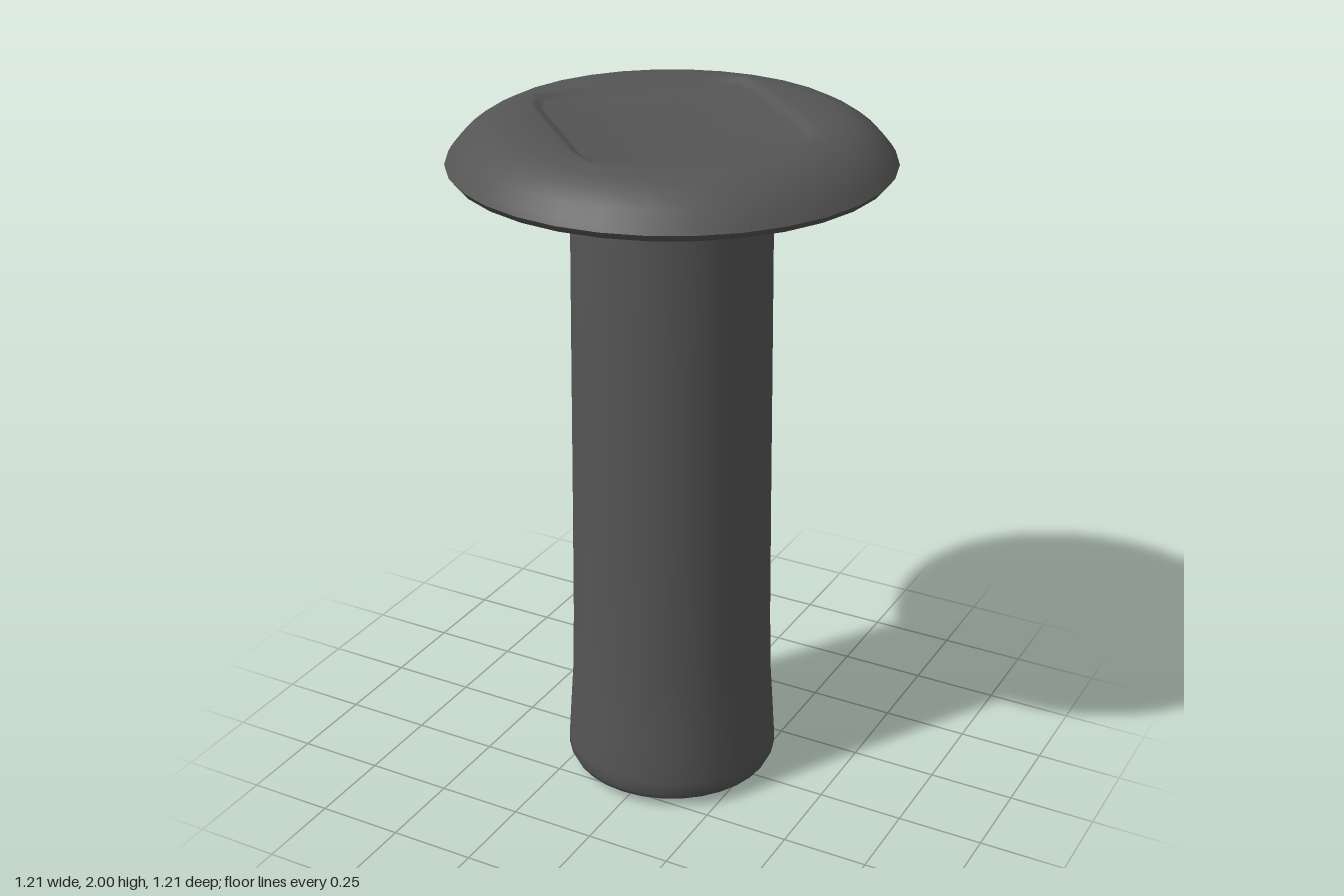
import * as THREE from 'three';
import { toCreasedNormals } from 'three/addons/utils/BufferGeometryUtils.js';

const SEGMENTS = 32;
const material = new THREE.MeshStandardMaterial({ color: 0x555555 });

// Radius of a diamond with clipped corners, in direction (x, z)
function diamondRadius(x, z) {
  const r = Math.hypot(x, z);
  return Math.min(0.41, (0.44 * r) / (Math.abs(x) + Math.abs(z)));
}

// Turned part; a profile point [offset, y, true] follows the diamond outline instead of a circle
function turned(name, profile, crease) {
  const lathe = new THREE.LatheGeometry(
    profile.map(([r, y, diamond]) => new THREE.Vector2(diamond ? 0.4 : r, y)), SEGMENTS);
  const pos = lathe.attributes.position;
  for (let i = 0; i < pos.count; i++) {
    const [offset, , diamond] = profile[i % profile.length];
    if (!diamond) continue;
    const x = pos.getX(i), z = pos.getZ(i);
    const k = (diamondRadius(x, z) + offset) / Math.hypot(x, z);
    pos.setX(i, x * k);
    pos.setZ(i, z * k);
  }
  // Enlarged while creasing so that close vertices stay distinct
  lathe.scale(100, 100, 100);
  const geometry = toCreasedNormals(lathe, crease);
  geometry.scale(0.01, 0.01, 0.01);
  const mesh = new THREE.Mesh(geometry, material);
  mesh.name = name;
  return mesh;
}

export function createModel() {
  const group = new THREE.Group();
  group.name = 'stud';

  // Shaft with a flared foot and a shallow round recess underneath
  group.add(turned('shaft', [
    [0, 0.01], [0.15, 0.01], [0.16, 0],
    [0.22, 0.006], [0.27, 0.015], [0.3, 0.03], [0.31, 0.05], [0.31, 0.09],
    [0.303, 0.2], [0.295, 0.32], [0.29, 0.5], [0.285, 0.9], [0.28, 1.35],
    [0.276, 1.7], [0.274, 1.768], [0.26, 1.782], [0, 1.782],
  ], 0.75));

  // Domed head with a short neck and a sunken diamond panel on top
  group.add(turned('head', [
    [0.2, 1.77], [0.205, 1.792], [0.25, 1.803], [0.4, 1.83], [0.56, 1.857], [0.59, 1.866],
    [0.605, 1.885], [0.592, 1.905], [0.565, 1.938], [0.53, 1.966], [0.49, 1.987], [0.45, 1.996],
    [0.025, 2, true], [0.008, 1.996, true], [-0.003, 1.985, true], [-0.015, 1.982, true],
    [0.1, 1.982], [0, 1.982],
  ], 0.85));

  return group;
}
